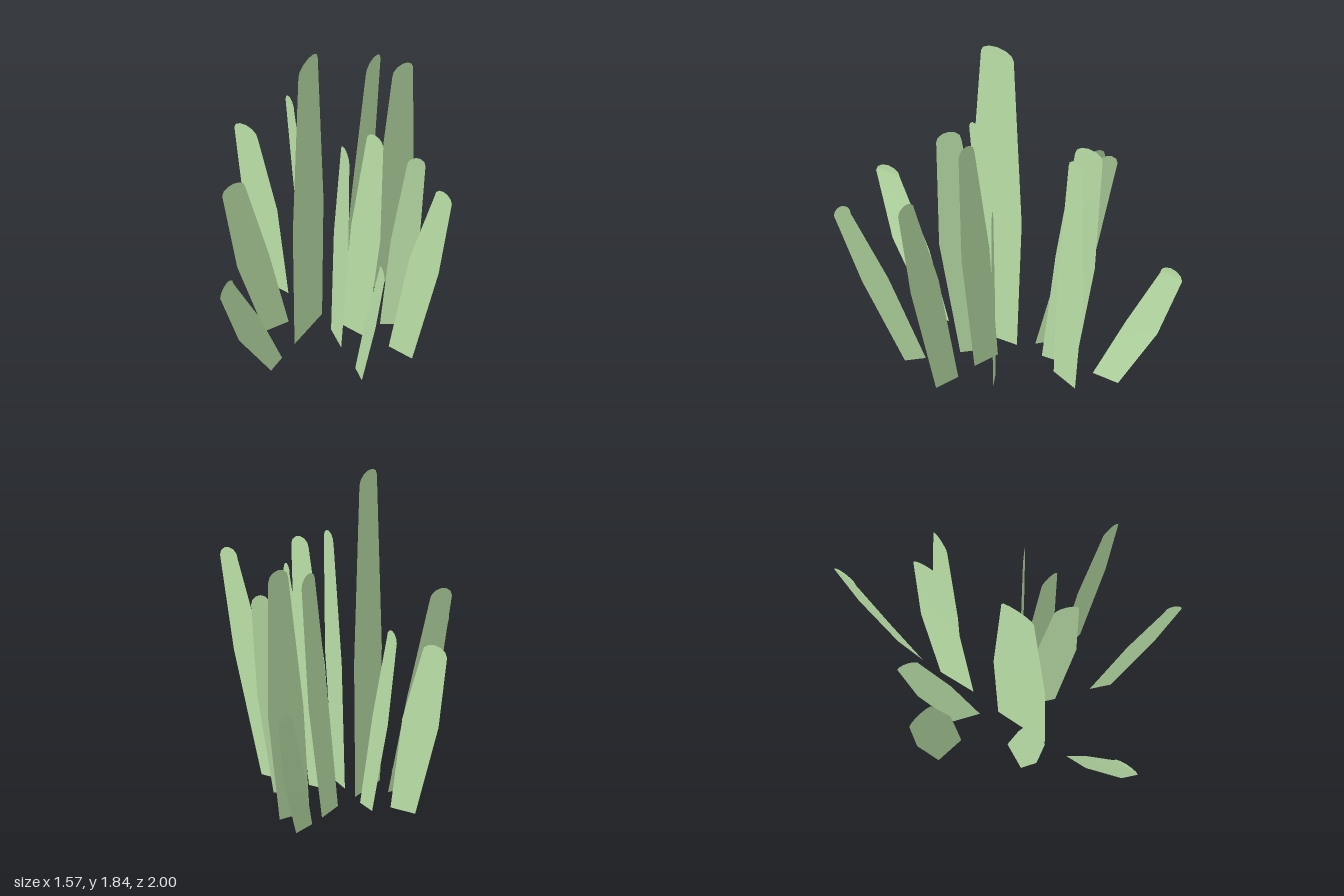
import * as THREE from 'three';

// Each blade: base centre x,z; top centre x,z; width vector x,z at the bend;
// height; bend height, base width and top width as fractions
const BLADES = [
  [-0.475, 0, -0.695, 0, -0.25, 0, 1.0, 0.53, 0.68, 0.68],
  [-0.28, -0.075, -0.575, -0.225, -0.17, -0.085, 1.12, 0.5, 0.8, 0.65],
  [-0.245, 0.265, -0.32, 0.535, -0.055, 0.2, 1.1, 0.47, 0.75, 0.73],
  [-0.235, -0.565, -0.385, -0.925, -0.03, -0.215, 0.79, 0.47, 0.8, 0.7],
  [-0.175, -0.26, -0.195, -0.478, -0.06, -0.245, 1.435, 0.47, 0.84, 0.7],
  [-0.1, 0.17, -0.115, 0.155, 0.07, 0.335, 1.84, 0.42, 0.9, 0.63],
  [-0.06, -0.425, -0.036, -0.54, 0.05, -0.25, 1.44, 0.43, 0.84, 0.56],
  [-0.025, 0.52, -0.033, 0.925, 0.055, 0.23, 0.79, 0.47, 0.55, 0.65],
  [0.07, 0.135, 0.2, 0.21, 0.21, 0.122, 1.41, 0.5, 0.7, 0.58],
  [0.1, 0.02, 0.25, 0.02, 0.21, 0, 1.42, 0.5, 0.84, 0.57],
  [0.212, -0.16, 0.314, -0.248, 0.12, -0.1, 1.14, 0.5, 0.8, 0.65],
  [0.415, 0, 0.725, 0, 0.21, 0, 1.26, 0.54, 0.8, 0.58],
  [0.37, 0.295, 0.72, 0.505, 0.125, 0.075, 1.03, 0.52, 0.8, 0.65],
];

// Flat leaf strip: narrow foot, wide bend near the middle, rounded tip
function bladeGeometry([bx, bz, tx, tz, wx, wz, h, bend, foot, top]) {
  const cap = 0.055;
  // rows of [height, lean from base to top, width factor]
  const rows = [[0, 0, foot], [h * bend, 0.55, 1], [h - cap, 1, top]];
  for (let i = 1; i <= 3; i++) {
    const a = (i / 3) * Math.PI / 2;
    rows.push([h - cap + cap * Math.sin(a), 1, top * Math.max(Math.cos(a), 0.02)]);
  }
  const pos = [], index = [];
  rows.forEach(([y, t, w], r) => {
    for (const s of [-0.5, 0.5]) {
      pos.push(bx + (tx - bx) * t + wx * w * s, y, bz + (tz - bz) * t + wz * w * s);
    }
    if (r > 0) {
      const k = r * 2;
      index.push(k - 2, k - 1, k + 1, k - 2, k + 1, k);
    }
  });
  const g = new THREE.BufferGeometry();
  g.setAttribute('position', new THREE.Float32BufferAttribute(pos, 3));
  g.setIndex(index);
  g.computeVertexNormals();
  return g;
}

export function createModel() {
  const group = new THREE.Group();
  group.name = 'grassTuft';
  const leafGreen = new THREE.MeshStandardMaterial({ color: 0xbbe0a8, side: THREE.DoubleSide });
  leafGreen.name = 'leafGreen';
  BLADES.forEach((b, i) => {
    const blade = new THREE.Mesh(bladeGeometry(b), leafGreen);
    blade.name = `blade${i + 1}`;
    group.add(blade);
  });
  return group;
}
